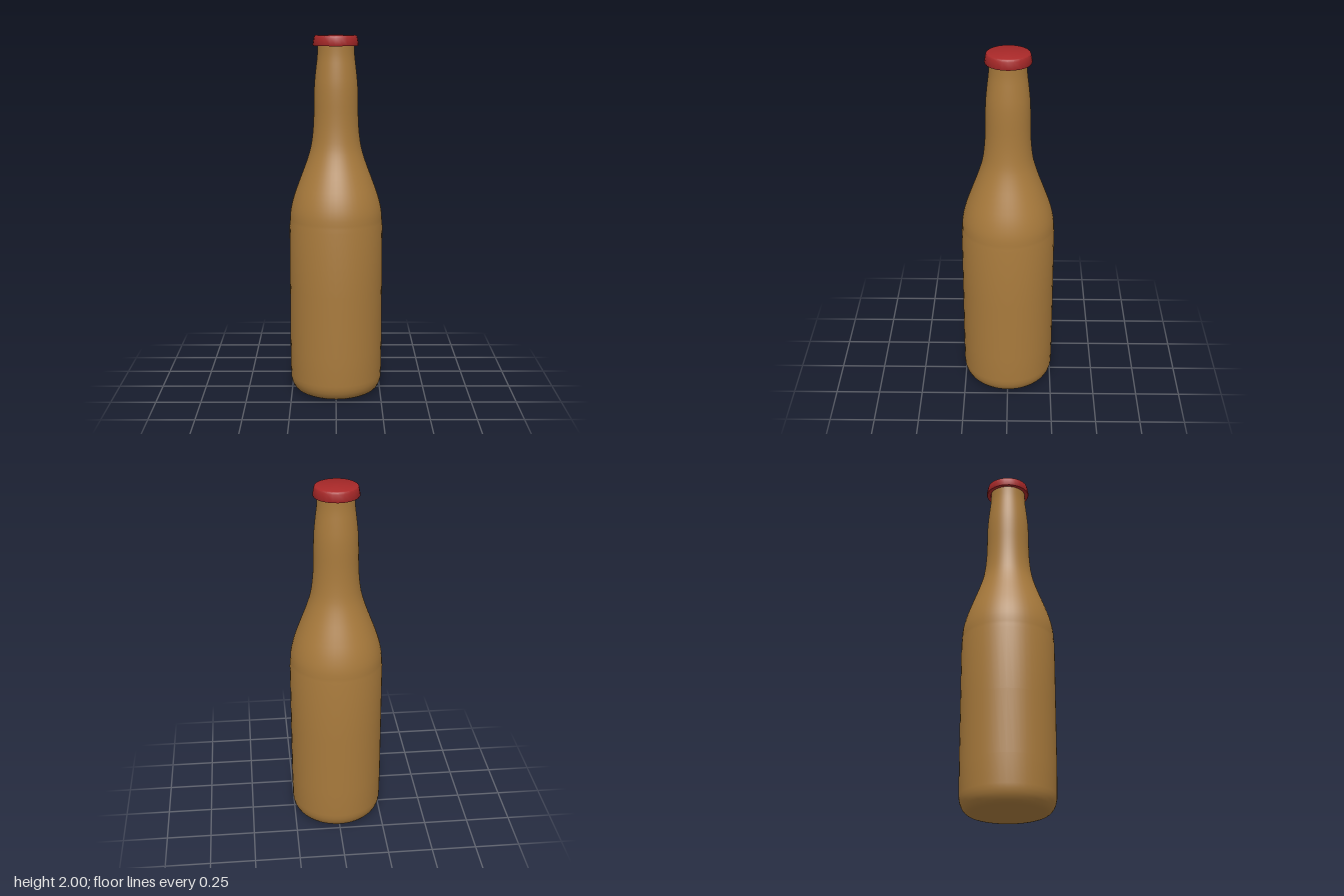
import * as THREE from 'three';
import { toCreasedNormals } from 'three/addons/utils/BufferGeometryUtils.js';

// Turned part from [radius, height] pairs, listed from the bottom up
function turned(name, points, sides, color, crease) {
  const profile = points.map(([r, y]) => new THREE.Vector2(r, y));
  const geometry = toCreasedNormals(new THREE.LatheGeometry(profile, sides), crease);
  const mesh = new THREE.Mesh(
    geometry,
    new THREE.MeshStandardMaterial({ color, side: THREE.DoubleSide })
  );
  mesh.name = name;
  return mesh;
}

export function createModel() {
  const bottle = new THREE.Group();
  bottle.name = 'bottle';
  const amber = 0xa87a3c;
  const red = 0xa82828;

  // Flat base with a rounded heel, then the straight body
  const body = [[0, 0], [0.2, 0]];
  for (let i = 1; i <= 6; i++) {
    const a = (i / 6) * Math.PI / 2;
    body.push([0.2 + 0.058 * Math.sin(a), 0.09 * (1 - Math.cos(a))]);
  }
  body.push([0.26, 0.25], [0.26, 0.6], [0.26, 0.955], [0.257, 0.975]);

  // Shoulder sweeping in to the slightly swollen neck
  const shoulder = new THREE.SplineCurve([
    [0.257, 0.975], [0.253, 1.04], [0.234, 1.12], [0.202, 1.21], [0.166, 1.305],
    [0.14, 1.39], [0.127, 1.48], [0.122, 1.57], [0.121, 1.66], [0.118, 1.74],
    [0.11, 1.82], [0.102, 1.89], [0.1, 1.95], [0.1, 1.985],
  ].map(([r, y]) => new THREE.Vector2(r, y)));
  const neck = shoulder.getPoints(36).slice(1).map((p) => [p.x, p.y]);
  bottle.add(turned('glassBottle', [...body, ...neck, [0, 1.985]], 48, amber, 0.6));

  // Cap with a flared skirt and a bevelled top edge
  const cap = turned('cap', [
    [0.1, 1.946], [0.122, 1.944], [0.125, 1.95], [0.119, 1.986],
    [0.116, 1.996], [0.11, 2], [0, 2],
  ], 24, red, 0.7);
  cap.position.set(-0.002, 0, -0.002);
  bottle.add(cap);

  return bottle;
}
